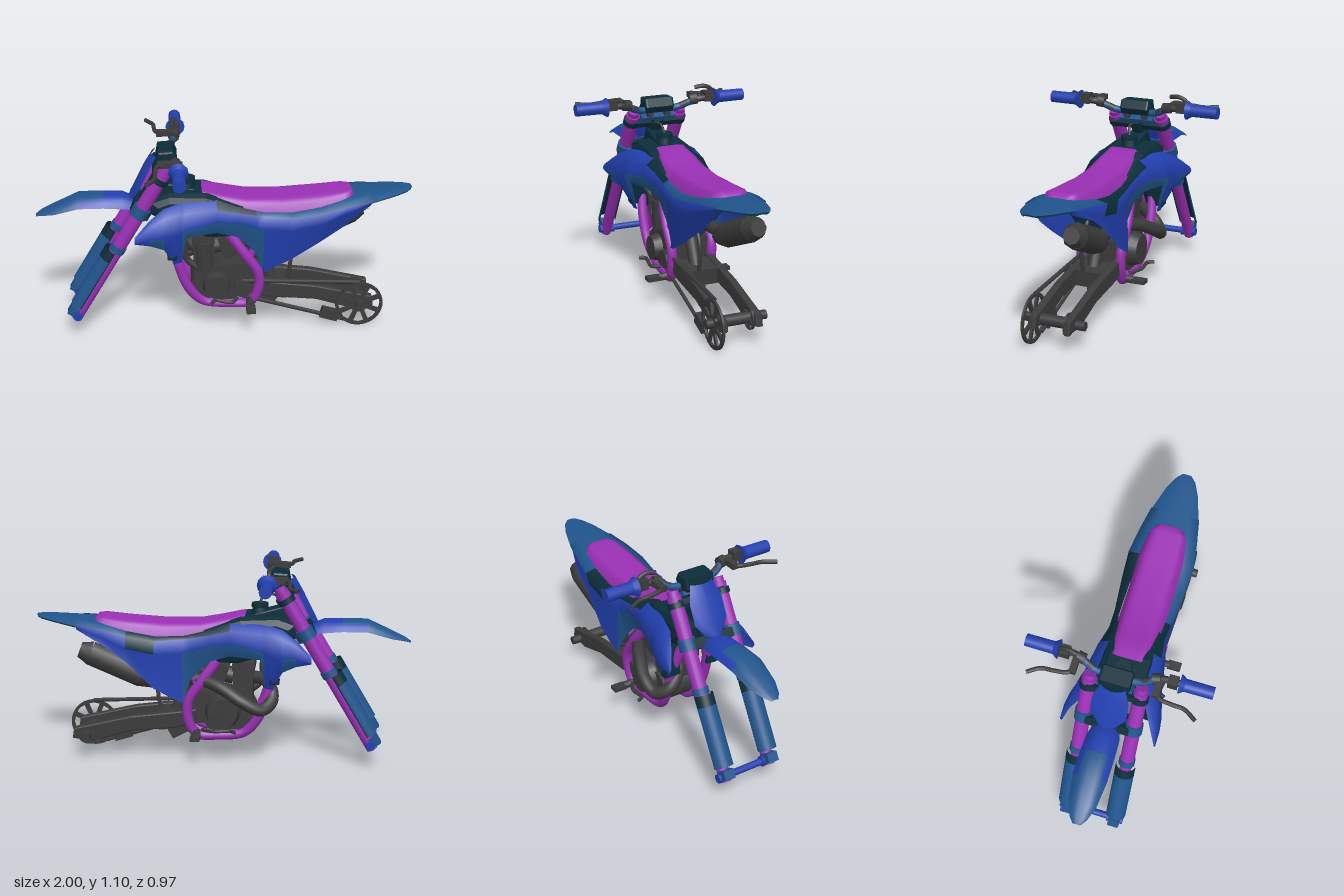
import * as THREE from 'three';

const mat = (name, color) => new THREE.MeshStandardMaterial({ name, color, side: THREE.DoubleSide });
const V = (p) => new THREE.Vector3(...p);

export function createModel() {
  const royal = mat('royalBlue', 0x2240b0), steel = mat('steelBlue', 0x20548c);
  const purple = mat('purple', 0x9a30b4), teal = mat('darkTeal', 0x0b2d39);
  const grey = mat('darkGrey', 0x3b3b3b), navy = mat('navy', 0x12365a);
  const root = new THREE.Group();
  root.name = 'dirtBike';

  const add = (name, geo, m, pos = [0, 0, 0], parent = root) => {
    const mesh = new THREE.Mesh(geo, m);
    mesh.name = name;
    mesh.position.set(...pos);
    parent.add(mesh);
    return mesh;
  };
  const box = (name, size, pos, m, rz = 0) => {
    const b = add(name, new THREE.BoxGeometry(...size), m, pos);
    b.rotation.z = rz;
    return b;
  };
  // Round bar between two points
  const rod = (name, a, b, r1, r2, m, seg = 14) => {
    const d = V(b).sub(V(a));
    const c = add(name, new THREE.CylinderGeometry(r2, r1, d.length(), seg), m);
    c.position.copy(V(a).addScaledVector(d, 0.5));
    c.quaternion.setFromUnitVectors(new THREE.Vector3(0, 1, 0), d.normalize());
    return c;
  };
  const tube = (name, pts, r, m, n = 40) =>
    add(name, new THREE.TubeGeometry(new THREE.CatmullRomCurve3(pts.map(V)), n, r, 10), m);
  // Side outline extruded from z0 to z1
  const plate = (name, pts, z0, z1, m, bevel = 0) => {
    const g = new THREE.ExtrudeGeometry(new THREE.Shape(pts.map((p) => new THREE.Vector2(...p))), {
      depth: z1 - z0 - 2 * bevel, bevelEnabled: bevel > 0, bevelSize: bevel,
      bevelThickness: bevel, bevelOffset: -bevel, bevelSegments: 2 });
    return add(name, g, m, [0, 0, z0 + bevel]);
  };
  // Skin over rows of points; pick(row, column) gives the material index
  const sheet = (name, rows, mats, pick = () => 0) => {
    const n = rows[0].length, index = [], g = new THREE.BufferGeometry();
    mats.forEach((_, k) => {
      const start = index.length;
      for (let i = 0; i < rows.length - 1; i++) for (let j = 0; j < n - 1; j++) {
        if (pick(i, j) !== k) continue;
        const a = i * n + j, b = a + n;
        index.push(a, a + 1, b, b, a + 1, b + 1);
      }
      g.addGroup(start, index.length - start, k);
    });
    g.setAttribute('position', new THREE.Float32BufferAttribute(rows.flat(2), 3));
    g.setIndex(index);
    g.computeVertexNormals();
    return add(name, g, mats);
  };
  // Arched cross-section: crown height, edge height, half width
  const arch = ([x, top, edge, w], p = 3) => Array.from({ length: 13 }, (_, k) => {
    const t = k / 6 - 1;
    return [x, edge + (top - edge) * (1 - Math.abs(t) ** p), w * t];
  });

  // Seat
  sheet('seat', [[-0.135, 0.78, 0.76, 0.08], [-0.12, 0.815, 0.765, 0.105], [0, 0.787, 0.73, 0.118], [0.11, 0.766, 0.7, 0.122],
    [0.3, 0.762, 0.68, 0.124], [0.5, 0.774, 0.71, 0.122], [0.63, 0.788, 0.748, 0.105], [0.67, 0.788, 0.755, 0.08],
    [0.685, 0.765, 0.755, 0.05]].map((s) => arch(s, 8)), [purple]);

  // Tail fender with dark underside
  const tail = [[0.62, 0.766, 0.73, 0.16], [0.75, 0.772, 0.745, 0.138], [0.9, 0.781, 0.767, 0.09],
    [0.97, 0.784, 0.776, 0.055], [1, 0.785, 0.782, 0.025]];
  sheet('tailFender', tail.map((s) => arch(s)), [steel]);
  sheet('tailUnderside', tail.map(([x, a, b, w]) => arch([x - 0.004, a - 0.01, b - 0.01, w * 0.95])), [teal]);
  sheet('innerFender', [[0.2, 0.37, 0], [0.22, 0.5, 0.12], [0.32, 0.6, 0.125], [0.5, 0.68, 0.13], [0.75, 0.735, 0.12]]
    .map(([x, y, w]) => [[x, y - 0.02, -w], [x, y, -w * 0.7], [x, y, 0.08], [x, y - 0.02, 0.13]]), [navy]);

  // Front fender
  sheet('frontFender', [[-1, 0.672, 0.668, 0.02], [-0.97, 0.692, 0.68, 0.045], [-0.9, 0.725, 0.697, 0.073], [-0.77, 0.785, 0.735, 0.09],
    [-0.64, 0.785, 0.735, 0.09], [-0.54, 0.782, 0.725, 0.085], [-0.48, 0.755, 0.715, 0.07]].map((s) => arch(s)),
    [steel, royal], (i, j) => (i > 3 || (i === 3 && (j < 2 || j > 9)) ? 1 : 0));

  // Front number plate
  sheet('numberPlate', [[-0.51, 0.77, 0.05], [-0.48, 0.83, 0.095], [-0.43, 0.93, 0.095], [-0.385, 1.01, 0.065]]
    .map(([x, y, w]) => [-1, -0.6, 0, 0.6, 1].map((t) => [x + 0.025 * t * t, y, w * t])), [royal]);

  // Fuel tank, narrow spine, cap and breather hose
  plate('fuelTank', [[-0.4, 0.78], [-0.3, 0.815], [-0.1, 0.805], [0.1, 0.74], [0.1, 0.6], [0.02, 0.555], [-0.1, 0.555],
    [-0.22, 0.6], [-0.4, 0.7]], -0.135, 0.135, teal, 0.045);
  plate('frameSpine', [[-0.42, 0.72], [-0.355, 0.87], [-0.3, 0.85], [-0.12, 0.8], [-0.12, 0.72]], -0.045, 0.045, teal, 0.01);
  rod('tankNeck', [-0.2, 0.79, 0], [-0.2, 0.845, 0], 0.05, 0.04, teal);
  rod('tankCap', [-0.2, 0.845, 0], [-0.2, 0.865, 0], 0.046, 0.046, teal, 10);
  tube('breatherHose', [[-0.2, 0.865, 0], [-0.22, 0.905, 0.01], [-0.28, 0.905, 0.02], [-0.33, 0.87, 0.02]], 0.007, grey);
  rod('steeringHead', [-0.44, 0.7, 0], [-0.31, 0.93, 0], 0.045, 0.04, teal);

  // Body stations: x, then [y, z] from the top edge to the bottom edge
  const body = [
    [-0.48, [0.64, 0.25], [0.63, 0.257], [0.615, 0.26], [0.6, 0.25]], [-0.4, [0.71, 0.2], [0.69, 0.24], [0.63, 0.26], [0.58, 0.235]],
    [-0.33, [0.755, 0.16], [0.72, 0.22], [0.63, 0.25], [0.54, 0.205]], [-0.275, [0.77, 0.15], [0.735, 0.21], [0.63, 0.235], [0.43, 0.155]],
    [-0.235, [0.775, 0.14], [0.74, 0.2], [0.64, 0.225], [0.435, 0.15]], [-0.215, [0.778, 0.135], [0.74, 0.195], [0.65, 0.215], [0.6, 0.19]],
    [-0.05, [0.78, 0.115], [0.745, 0.165], [0.68, 0.185], [0.61, 0.16]], [0.06, [0.74, 0.12], [0.715, 0.15], [0.66, 0.16], [0.57, 0.135]],
    [0.16, [0.715, 0.124], [0.7, 0.155], [0.63, 0.16], [0.47, 0.13]], [0.2, [0.705, 0.125], [0.695, 0.16], [0.62, 0.16], [0.345, 0.12]],
    [0.35, [0.7, 0.125], [0.685, 0.175], [0.61, 0.165], [0.425, 0.13]], [0.5, [0.725, 0.122], [0.71, 0.183], [0.64, 0.165], [0.52, 0.125]],
    [0.63, [0.758, 0.104], [0.735, 0.163], [0.69, 0.145], [0.61, 0.12]], [0.77, [0.772, 0.08], [0.752, 0.135], [0.745, 0.125], [0.725, 0.11]]];

  for (const s of [1, -1]) {
    // Shroud and side panel; the exhaust side bulges and is cut away at the rear
    const rows = body.map(([x, ...pts]) => pts.map(([y, z], k) =>
      s < 0 && k === 3 && x > 0.18 && x < 0.7 ? [x, x > 0.4 ? y + 0.05 : y, -z - 0.045] : [x, y, z * s]));
    sheet('sidePanel', rows, [royal, steel, teal], (i, j) => {
      if (j === 0 && i > 5) return i < 8 || (s < 0 && i < 11) ? 2 : 1;
      if (j === 1) return s < 0 && i === 10 ? 2 : 0;
      return j === 2 && (i === 1 || (i > 3 && i < 9)) ? 1 : 0;
    });
    box('radiator', [0.05, 0.24, 0.09], [-0.27, 0.58, 0.13 * s], teal, -0.15);

    // Fork leg, in its own tilted group
    const leg = new THREE.Group();
    leg.name = 'forkLeg';
    leg.position.set(-0.8, 0.14, 0.135 * s);
    leg.rotation.z = -0.535;
    root.add(leg);
    const ring = (name, r, y0, y1, m, x = 0, ...arc) =>
      add(name, new THREE.CylinderGeometry(r, r, y1 - y0, 18, 1, ...arc), m, [x, (y0 + y1) / 2, 0], leg);
    ring('forkLower', 0.031, -0.03, 0.45, purple, 0.005);
    ring('forkUpper', 0.038, 0.42, 0.94, purple);
    ring('forkSeal', 0.043, 0.43, 0.465, steel);
    ring('lowerClampRing', 0.047, 0.66, 0.72, steel);
    ring('upperClampRing', 0.046, 0.88, 0.91, teal);
    ring('forkCap', 0.031, 0.94, 0.968, purple);
    ring('forkGuard', 0.053, 0.05, 0.37, steel, -0.012, true, Math.PI, Math.PI);
    ring('guardTop', 0.053, 0.37, 0.43, teal, -0.012, true, Math.PI, Math.PI);
    ring('guardLiner', 0.05, 0.05, 0.43, teal, -0.012, true, Math.PI * 0.96, Math.PI * 1.08);
    box('axleClamp', [0.07, 0.05, 0.06], [-0.812, 0.155, 0.135 * s], steel, -0.535);
    rod('axleEnd', [-0.8, 0.135, 0.09 * s], [-0.8, 0.135, 0.178 * s], 0.028, 0.024, royal, 10);

    // Grip, lever and switch clamps
    rod('grip', [-0.25, 1.025, 0.32 * s], [-0.25, 1.025, 0.487 * s], 0.034, 0.033, royal, 12);
    rod('gripFlange', [-0.25, 1.025, 0.313 * s], [-0.25, 1.025, 0.34 * s], 0.052, 0.034, royal, 12);
    tube('lever', [[-0.27, 1.03, 0.22 * s], [-0.35, 1.03, 0.23 * s], [-0.365, 1.025, 0.3 * s], [-0.37, 1.02, 0.37 * s],
      [-0.41, 1.02, 0.435 * s]], 0.011, grey);
    tube('outerBar', [[-0.285, 0.983, 0.12 * s], [-0.265, 1.01, 0.18 * s], [-0.25, 1.025, 0.23 * s], [-0.25, 1.025, 0.32 * s]], 0.018, grey);
    box('switchClamp', [0.055, 0.055, 0.05], [-0.255, 1.035, 0.28 * s], grey);
    rod('leverClamp', [-0.262, 1.02, 0.175 * s], [-0.255, 1.025, 0.215 * s], 0.03, 0.03, grey, 10);
    box('leverPerch', [0.09, 0.03, 0.035], [-0.31, 1.03, 0.215 * s], grey);
    box('barMount', [0.06, 0.04, 0.03], [-0.3, 0.96, 0.05 * s], grey);

    // Frame cradle
    tube('frameCradle', [[-0.37, 0.76, 0.04 * s], [-0.3, 0.58, 0.09 * s], [-0.26, 0.43, 0.11 * s], [-0.2, 0.26, 0.105 * s],
      [-0.12, 0.17, 0.09 * s], [0.02, 0.15, 0.09 * s], [0.13, 0.16, 0.1 * s], [0.172, 0.23, 0.11 * s],
      [0.175, 0.34, 0.115 * s], [0.1, 0.46, 0.115 * s], [0.02, 0.57, 0.1 * s]], 0.027, purple, 70);
    rod('subframeStrut', [0.12, 0.42, 0.11 * s], [0.17, 0.52, 0.1 * s], 0.02, 0.02, purple, 8);

    // Footpeg and swingarm
    rod('footpegMount', [0.13, 0.17, 0.11 * s], [0.13, 0.165, 0.17 * s], 0.022, 0.02, grey, 8);
    box('footpeg', [0.05, 0.022, 0.075], [0.13, 0.167, 0.2 * s], grey);
    plate('swingarm', [[0.13, 0.3], [0.22, 0.285], [0.49, 0.25], [0.8, 0.175], [0.81, 0.115], [0.68, 0.105], [0.49, 0.165],
      [0.24, 0.19], [0.13, 0.22]], 0.095 * s - 0.02, 0.095 * s + 0.02, grey, 0.008);
  }

  // Triple clamps, axle, handlebar and pad
  box('lowerTripleClamp', [0.1, 0.05, 0.28], [-0.445, 0.725, 0], teal, -0.535);
  box('upperTripleClamp', [0.09, 0.03, 0.28], [-0.335, 0.915, 0], teal, -0.535);
  box('clampCover', [0.07, 0.02, 0.19], [-0.315, 0.945, 0], steel, -0.535);
  rod('frontAxle', [-0.8, 0.135, -0.13], [-0.8, 0.135, 0.13], 0.018, 0.018, royal);
  tube('handlebar', [[-0.265, 1.01, -0.18], [-0.285, 0.983, -0.12], [-0.29, 0.978, 0], [-0.285, 0.983, 0.12], [-0.265, 1.01, 0.18]], 0.019, steel);
  plate('barPad', [[-0.36, 0.985], [-0.35, 1.04], [-0.27, 1.045], [-0.25, 1.0], [-0.27, 0.965], [-0.35, 0.965]], -0.083, 0.083, teal, 0.012);
  tube('brakeHose', [[-0.27, 1.085, -0.21], [-0.26, 1.09, -0.26], [-0.26, 1.07, -0.3], [-0.26, 1.02, -0.3]], 0.012, grey);

  // Engine
  const barrel = new THREE.Group();
  barrel.name = 'engineBarrel';
  barrel.position.set(-0.11, 0.33, 0);
  barrel.rotation.z = 0.04;
  root.add(barrel);
  add('cylinderBlock', new THREE.BoxGeometry(0.11, 0.22, 0.16), grey, [0, 0.09, 0], barrel);
  add('cylinderHead', new THREE.BoxGeometry(0.12, 0.05, 0.17), grey, [0, 0.2, 0], barrel);
  add('barrelCover', new THREE.CylinderGeometry(0.055, 0.055, 0.17, 14), grey, [0, 0.1, 0.05], barrel);
  rod('crankcase', [0, 0.28, -0.1], [0, 0.28, 0.1], 0.11, 0.11, grey, 18);
  rod('crankFront', [-0.1, 0.27, -0.1], [-0.1, 0.27, 0.1], 0.085, 0.085, grey, 16);
  box('gearbox', [0.18, 0.17, 0.18], [0.09, 0.3, 0], grey);
  rod('clutchCover', [-0.01, 0.29, -0.09], [-0.01, 0.29, -0.155], 0.1, 0.08, grey, 18);
  rod('ignitionCover', [-0.05, 0.27, 0.09], [-0.05, 0.27, 0.145], 0.08, 0.065, grey, 16);
  rod('frontSprocket', [0.09, 0.25, 0.1], [0.09, 0.25, 0.13], 0.05, 0.05, grey, 12);
  rod('carburettor', [-0.06, 0.46, 0], [0.12, 0.5, 0], 0.045, 0.055, grey);
  box('intakeBox', [0.13, 0.13, 0.13], [0.04, 0.48, 0], grey, 0.3);
  tube('coolantHose', [[-0.27, 0.55, 0.09], [-0.22, 0.53, 0.08], [-0.21, 0.42, 0.07], [-0.15, 0.36, 0.07]], 0.018, grey);
  tube('gearLever', [[0.06, 0.2, 0.13], [0.03, 0.195, 0.17], [-0.06, 0.21, 0.17], [-0.08, 0.21, 0.2]], 0.01, grey);
  tube('brakePedal', [[0.1, 0.19, -0.13], [0.03, 0.195, -0.17], [-0.06, 0.2, -0.17], [-0.08, 0.2, -0.2]], 0.01, grey);
  rod('shock', [0.13, 0.52, 0.01], [0.27, 0.22, 0.01], 0.035, 0.035, grey);
  box('shockLinkage', [0.1, 0.06, 0.06], [0.24, 0.15, 0], grey, -0.5);
  tube('linkageHose', [[0.28, 0.52, 0.03], [0.35, 0.42, 0.03], [0.355, 0.33, 0.03], [0.34, 0.26, 0.03]], 0.011, grey);

  // Exhaust
  tube('headerPipe', [[-0.15, 0.46, 0], [-0.24, 0.45, -0.05], [-0.275, 0.37, -0.12], [-0.22, 0.325, -0.18],
    [-0.12, 0.37, -0.19], [-0.01, 0.43, -0.15], [0.1, 0.46, -0.1], [0.25, 0.465, -0.075], [0.42, 0.47, -0.085]], 0.035, grey, 70);
  rod('mufflerCone', [0.35, 0.44, -0.08], [0.43, 0.475, -0.085], 0.04, 0.068, grey, 8);
  rod('muffler', [0.43, 0.475, -0.085], [0.7, 0.595, -0.1], 0.068, 0.068, grey, 8);
  rod('mufflerTip', [0.7, 0.595, -0.1], [0.755, 0.615, -0.105], 0.068, 0.045, grey, 8);

  // Swingarm bridge, rear axle, chain, sprocket and brake disc
  box('swingarmBridge', [0.14, 0.09, 0.2], [0.27, 0.225, 0], grey, -0.1);
  rod('rearAxle', [0.73, 0.14, -0.165], [0.73, 0.14, 0.165], 0.024, 0.024, grey);
  rod('rearHub', [0.73, 0.14, -0.08], [0.73, 0.14, 0.1], 0.03, 0.03, grey);
  rod('chainTop', [0.09, 0.295, 0.115], [0.73, 0.265, 0.115], 0.011, 0.011, grey, 6);
  rod('chainBottom', [0.09, 0.205, 0.115], [0.66, 0.035, 0.115], 0.011, 0.011, grey, 6);
  box('chainGuide', [0.1, 0.06, 0.035], [0.57, 0.075, 0.115], grey, -0.3);
  const spoked = (name, r, holes, z) => {
    const shape = new THREE.Shape().absarc(0, 0, r, 0, Math.PI * 2);
    for (let i = 0; i < holes; i++) {
      const a = (i / holes) * Math.PI * 2, w = (Math.PI / holes) * 0.7;
      shape.holes.push(new THREE.Path([[0.38, -w * 0.6], [0.86, -w], [0.88, 0], [0.86, w], [0.38, w * 0.6]]
        .map(([k, t]) => new THREE.Vector2(Math.cos(a + t) * r * k, Math.sin(a + t) * r * k))));
    }
    add(name, new THREE.ExtrudeGeometry(shape, { depth: 0.012, bevelEnabled: false, curveSegments: 32 }), grey, [0.73, 0.135, z]);
  };
  spoked('rearSprocket', 0.13, 8, 0.116);
  spoked('brakeDisc', 0.06, 6, -0.08);
  return root;
}
